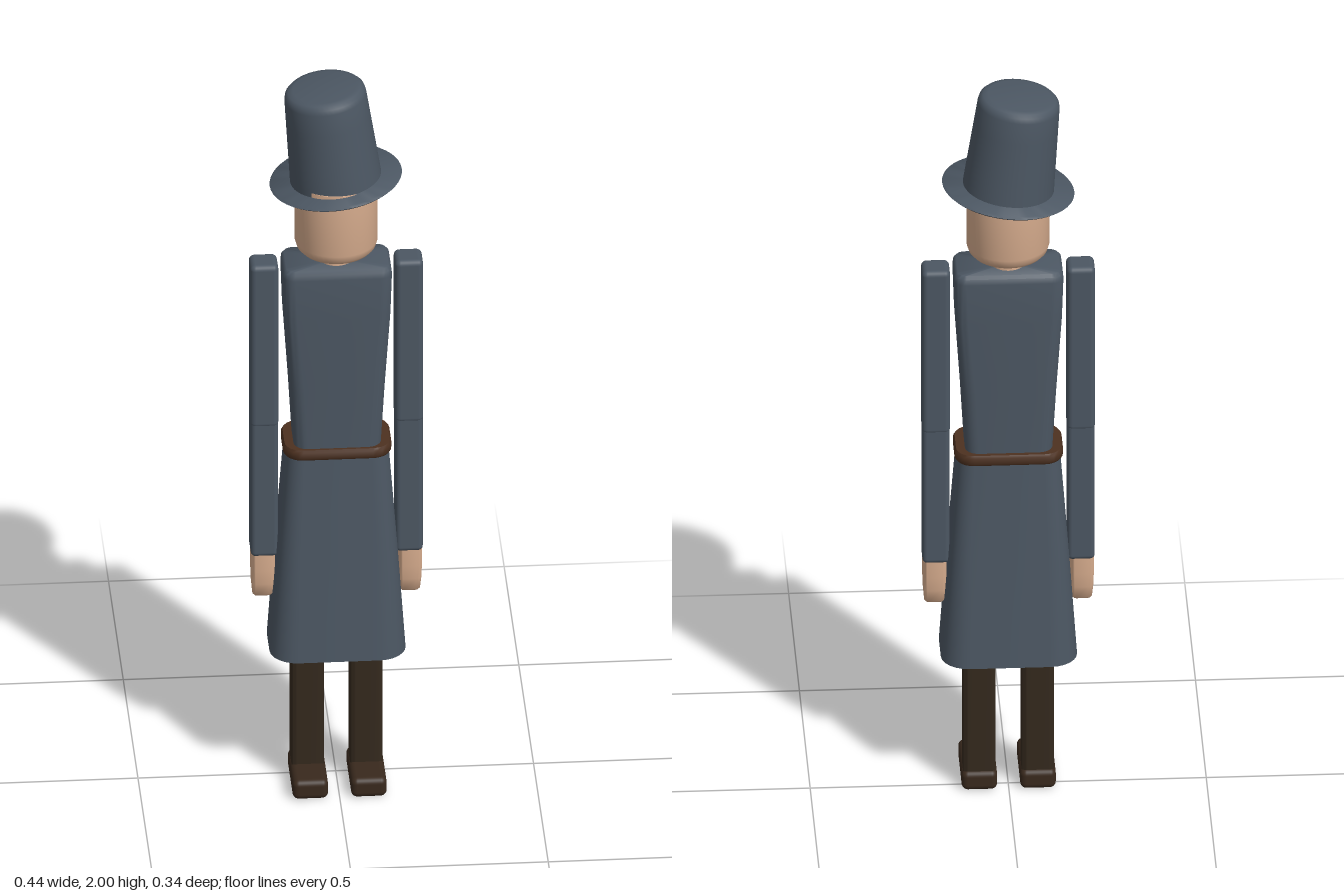
import * as THREE from 'three';
import { toCreasedNormals } from 'three/addons/utils/BufferGeometryUtils.js';
import { RoundedBoxGeometry } from 'three/addons/geometries/RoundedBoxGeometry.js';

const material = (name, color, side = THREE.FrontSide) => {
  const m = new THREE.MeshStandardMaterial({ color, side });
  m.name = name;
  return m;
};

// Rounded rectangle outline, as [x, z] points
function outline(w, d, r, steps = 6) {
  const pts = [];
  for (let q = 0; q < 4; q++) {
    const sx = q === 0 || q === 3 ? 1 : -1;
    const sz = q < 2 ? 1 : -1;
    for (let i = 0; i <= steps; i++) {
      const a = (q + i / steps) * Math.PI / 2;
      pts.push([sx * (w - r) + r * Math.cos(a), sz * (d - r) + r * Math.sin(a)]);
    }
  }
  return pts;
}

// Loft through sections [y, half width, half depth, centre z, corner radius], bottom to top
function loft(sections, capped = true) {
  const pos = [], idx = [];
  const n = outline(1, 1, 0.1).length;
  sections.forEach(([y, w, d, cz, r]) => {
    outline(w, d, r).forEach(([x, z]) => pos.push(x, y, z + cz));
  });
  for (let k = 0; k < sections.length - 1; k++) {
    for (let i = 0; i < n; i++) {
      const a = k * n + i, b = k * n + (i + 1) % n;
      idx.push(a, a + n, b, b, a + n, b + n);
    }
  }
  if (capped) {
    [0, sections.length - 1].forEach((k) => {
      const c = pos.length / 3;
      pos.push(0, sections[k][0], sections[k][3]);
      for (let i = 0; i < n; i++) {
        const a = k * n + i, b = k * n + (i + 1) % n;
        if (k) idx.push(c, b, a);
        else idx.push(c, a, b);
      }
    });
  }
  const g = new THREE.BufferGeometry();
  g.setAttribute('position', new THREE.Float32BufferAttribute(pos, 3));
  g.setIndex(idx);
  return toCreasedNormals(g, 0.9);
}

const lathe = (pts) => toCreasedNormals(
  new THREE.LatheGeometry(pts.map(([x, y]) => new THREE.Vector2(x, y)), 48), 0.9);

export function createModel() {
  const model = new THREE.Group();
  model.name = 'gentleman';
  const coat = material('slate coat', 0x4c5763);
  const cloth = material('slate skirt cloth', 0x4c5763, THREE.DoubleSide);
  const skin = material('skin', 0xd9ae8f);
  const trousers = material('dark trousers', 0x34291d);
  const leather = material('shoe leather', 0x39291d);
  const beltBrown = material('belt brown', 0x4d3120);

  const add = (name, geometry, mat, x = 0, y = 0, z = 0, parent = model) => {
    const m = new THREE.Mesh(geometry, mat);
    m.name = name;
    m.position.set(x, y, z);
    parent.add(m);
    return m;
  };

  // Coat: tapered torso, belt and open flared skirt
  add('torso', loft([
    [0.96, 0.109, 0.07, 0.014, 0.035],
    [1.15, 0.12, 0.072, 0.014, 0.035],
    [1.36, 0.134, 0.073, 0.014, 0.03],
    [1.475, 0.138, 0.073, 0.014, 0.03],
    [1.49, 0.136, 0.071, 0.014, 0.028],
    [1.498, 0.129, 0.064, 0.014, 0.022],
  ]), coat);
  add('belt', loft([
    [0.957, 0.133, 0.079, 0.012, 0.045],
    [0.963, 0.137, 0.083, 0.012, 0.049],
    [0.98, 0.137, 0.083, 0.012, 0.049],
    [0.986, 0.133, 0.079, 0.012, 0.045],
  ]), beltBrown);
  add('coatSkirt', loft([
    [0.39, 0.172, 0.116, 0.013, 0.07],
    [0.68, 0.152, 0.098, 0.013, 0.055],
    [0.97, 0.13, 0.078, 0.012, 0.044],
  ], false), cloth);

  // Arms, hands, legs and shoes on both sides
  [['left', 1], ['right', -1]].forEach(([side, s]) => {
    const ax = s * 0.183;
    add(side + 'UpperArm', new RoundedBoxGeometry(0.071, 0.47, 0.076, 3, 0.014), coat, ax, 1.263, 0.009);
    add(side + 'Forearm', new RoundedBoxGeometry(0.069, 0.42, 0.073, 3, 0.012), coat, ax, 0.864, 0.009);
    add(side + 'Hand', loft([
      [0.53, 0.022, 0.012, 0.01, 0.009],
      [0.536, 0.026, 0.018, 0.01, 0.012],
      [0.57, 0.029, 0.026, 0.01, 0.014],
      [0.61, 0.03, 0.031, 0.01, 0.014],
      [0.67, 0.03, 0.031, 0.01, 0.014],
    ]), skin, s * 0.186);
    add(side + 'Leg', loft([
      [0.04, 0.041, 0.042, 0.012, 0.013],
      [0.9, 0.041, 0.042, 0.012, 0.013],
    ]), trousers, s * 0.074);
    add(side + 'Shoe', new RoundedBoxGeometry(0.09, 0.054, 0.185, 4, 0.016), leather, s * 0.074, 0.027, 0.053);
  });

  // Head and neck
  add('neck', new THREE.CylinderGeometry(0.041, 0.041, 0.08, 32), skin, 0, 1.52, 0.013);
  add('head', lathe([
    [0, 1.527], [0.075, 1.527], [0.09, 1.532], [0.1, 1.543], [0.105, 1.56],
    [0.105, 1.735], [0, 1.735],
  ]), skin, 0, 0, 0.014);

  // Tilted tall hat
  const hat = new THREE.Group();
  hat.name = 'hat';
  hat.position.set(0, 1.725, 0);
  hat.rotation.z = 0.11;
  model.add(hat);
  add('brim', lathe([
    [0, -0.005], [0.162, -0.005], [0.168, 0], [0.162, 0.005], [0, 0.005],
  ]), coat, 0, 0, 0, hat);
  add('crown', lathe([
    [0.116, 0], [0.113, 0.06], [0.107, 0.18], [0.104, 0.24],
    [0.101, 0.253], [0.093, 0.261], [0.08, 0.264], [0, 0.265],
  ]), coat, 0, 0, 0, hat);
  return model;
}
